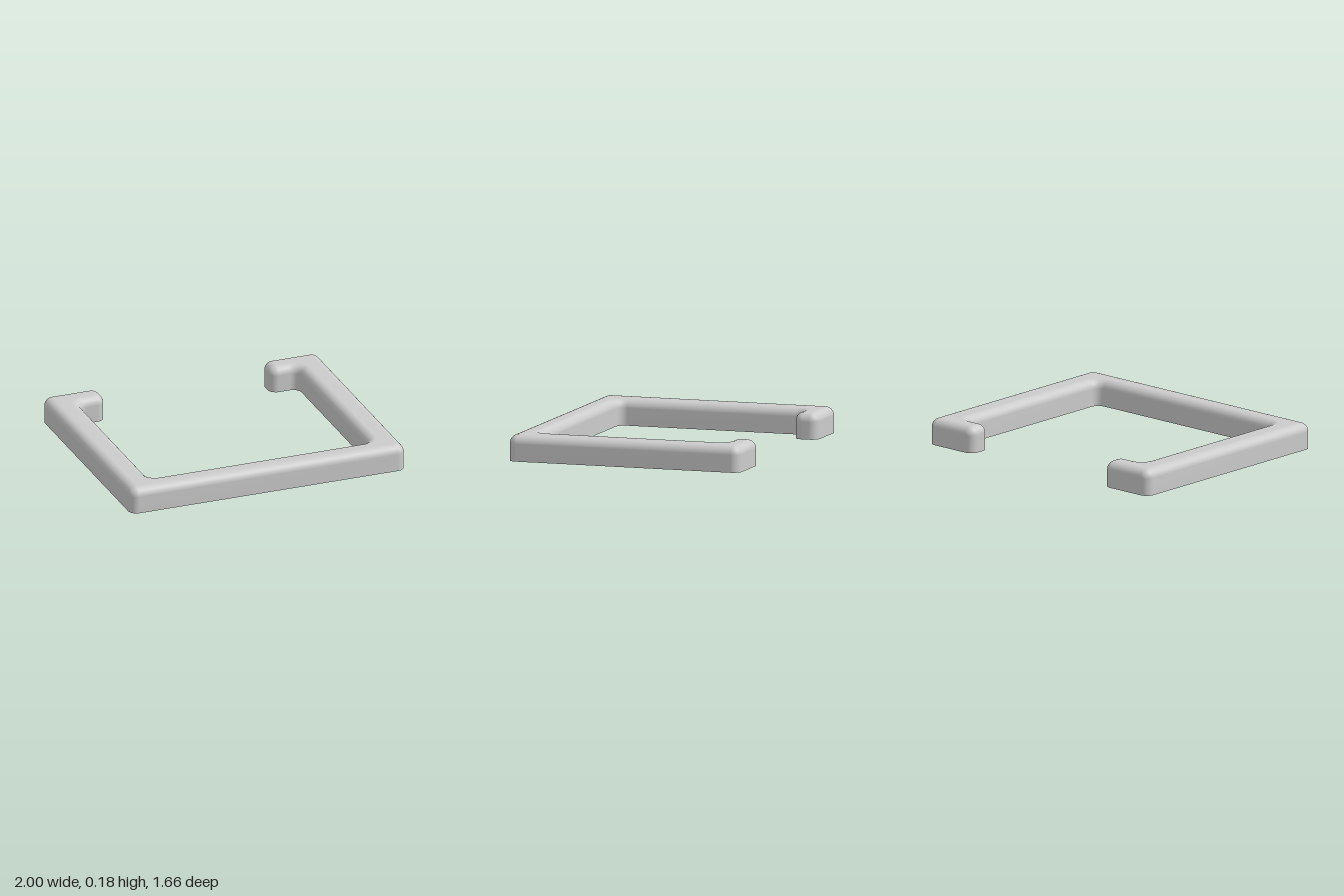
import * as THREE from 'three';

const HEIGHT = 0.18, R = 0.06, CORNER = 0.0605, STEPS = 8;

// Plan of the open frame, anticlockwise, as (x, -z); the right half mirrors the left
const half = [[1, -0.83], [1, 0.83], [0.6, 0.83], [0.6, 0.66], [0.8, 0.66], [0.8, -0.66]];
const plan = [...half, ...half.map(([x, v]) => [-x, v]).reverse()]
  .map(([x, v]) => new THREE.Vector2(x, v));

// Plan moved inwards by d, with rounded inner and outer corners
function outline(d) {
  const points = [], n = plan.length;
  plan.forEach((p, i) => {
    const a = p.clone().sub(plan[(i + n - 1) % n]).normalize();
    const b = plan[(i + 1) % n].clone().sub(p).normalize();
    const s = Math.sign(a.cross(b));
    const na = new THREE.Vector2(-a.y, a.x), nb = new THREE.Vector2(-b.y, b.x);
    const centre = p.clone().addScaledVector(na, s * CORNER).addScaledVector(nb, s * CORNER);
    const r = -s * (CORNER - s * d);
    for (let k = 0; k <= STEPS; k++) {
      const t = (k / STEPS) * Math.PI / 2;
      points.push(centre.clone()
        .addScaledVector(na, r * Math.cos(t)).addScaledVector(nb, r * Math.sin(t)));
    }
  });
  return points;
}

// Hollow shell: straight walls, rounded shoulder, flat top, open underside
function shellGeometry() {
  const levels = [[0, 0]];
  for (let k = 0; k <= STEPS; k++) {
    const t = (k / STEPS) * Math.PI / 2;
    levels.push([HEIGHT - R + R * Math.sin(t), R * (1 - Math.cos(t))]);
  }
  const rings = levels.map(([, d]) => outline(d));
  const positions = [], index = [], n = rings[0].length;
  rings.forEach((ring, j) => ring.forEach((p) => positions.push(p.x, levels[j][0], -p.y)));
  for (let j = 0; j < rings.length - 1; j++) {
    for (let i = 0; i < n; i++) {
      const a = j * n + i, b = j * n + (i + 1) % n;
      index.push(a, b, b + n, a, b + n, a + n);
    }
  }
  const top = (rings.length - 1) * n;
  for (const face of THREE.ShapeUtils.triangulateShape(rings[rings.length - 1], [])) {
    index.push(...face.map((i) => top + i));
  }
  const geometry = new THREE.BufferGeometry();
  geometry.setAttribute('position', new THREE.Float32BufferAttribute(positions, 3));
  geometry.setIndex(index);
  geometry.computeVertexNormals();
  return geometry;
}

export function createModel() {
  const group = new THREE.Group();
  group.name = 'openFrame';
  const material = new THREE.MeshStandardMaterial({ color: 0xcccccc, side: THREE.DoubleSide });
  const shell = new THREE.Mesh(shellGeometry(), material);
  shell.name = 'frameShell';
  group.add(shell);
  return group;
}
